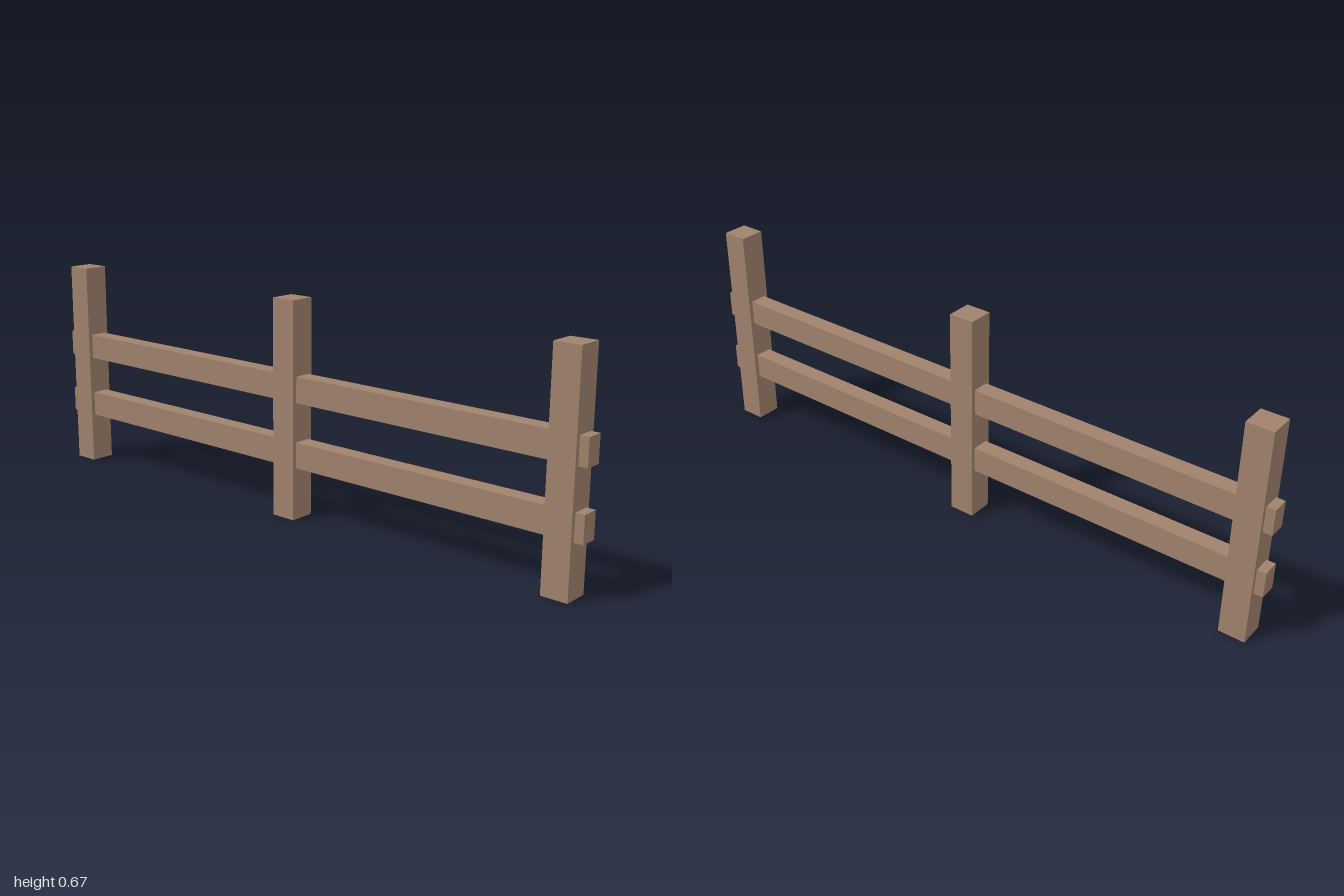
import * as THREE from 'three';

export function createModel() {
  const fence = new THREE.Group();
  fence.name = 'fence';

  const wood = new THREE.MeshStandardMaterial({ color: 0xa0826d });
  wood.name = 'weathered wood';

  const addBeam = (name, size, position) => {
    const beam = new THREE.Mesh(new THREE.BoxGeometry(...size), wood);
    beam.name = name;
    beam.position.set(...position);
    fence.add(beam);
  };

  // Three upright square posts
  const postHeight = 0.667;
  const posts = { rightPost: -0.933, middlePost: 0, leftPost: 0.933 };
  for (const [name, x] of Object.entries(posts)) {
    addBeam(name, [0.08, postHeight, 0.08], [x, postHeight / 2, 0]);
  }

  // Two rails running through the posts, ends sticking out
  const rails = { lowerRail: 0.2, upperRail: 0.4 };
  for (const [name, y] of Object.entries(rails)) {
    addBeam(name, [2, 0.08, 0.053], [0, y, 0]);
  }

  return fence;
}
